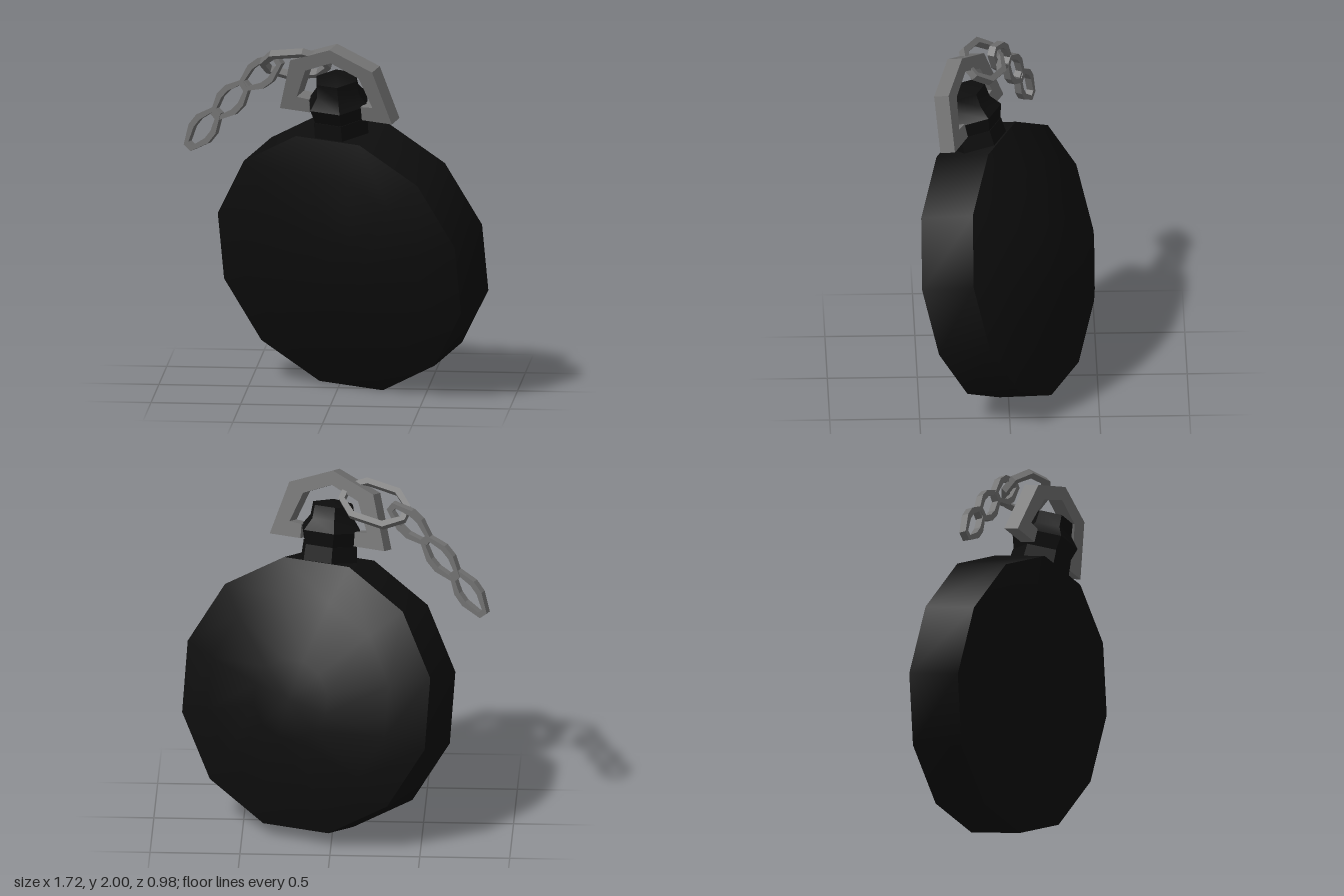
import * as THREE from 'three';
import { toCreasedNormals } from 'three/addons/utils/BufferGeometryUtils.js';

const V2 = (x, y) => new THREE.Vector2(x, y);
const V3 = (x, y, z) => new THREE.Vector3(x, y, z);

// Turned part: profile of [radius, height] pairs from bottom to top
function turned(profile, sides, crease, start = 0) {
  const g = new THREE.LatheGeometry(profile.map(([r, h]) => V2(r, h)), sides, start);
  return toCreasedNormals(g, crease);
}

// Flat plate cut from an outline, centred on its own thickness
function plate(outline, hole, depth) {
  const shape = new THREE.Shape(outline);
  if (hole) shape.holes.push(new THREE.Path(hole));
  const g = new THREE.ExtrudeGeometry(shape, { depth, bevelEnabled: false });
  return g.translate(0, 0, -depth / 2);
}

// Elongated eight-cornered loop: half length, half width, shoulder position
function loop(l, w, k) {
  const quarter = [[l, w * 0.35], [l * k, w]];
  const half = [...quarter, ...quarter.map(([x, y]) => [-x, y]).reverse()];
  return [...half, ...half.map(([x, y]) => [-x, -y])].map(([x, y]) => V2(x, y));
}

export function createModel() {
  const black = new THREE.MeshStandardMaterial({ color: 0x0d0d0d });
  black.name = 'black enamel';
  const steel = new THREE.MeshStandardMaterial({ color: 0x727272 });
  steel.name = 'steel';

  const model = new THREE.Group();
  model.name = 'pocketWatch';
  const add = (parent, name, geometry, material) => {
    const mesh = new THREE.Mesh(geometry, material);
    mesh.name = name;
    parent.add(mesh);
    return mesh;
  };
  // Place an object with its local z along normal and local x along the long axis
  const orient = (object, centre, along, normal) => {
    const x = along.clone().normalize();
    const z = normal.clone().addScaledVector(x, -normal.dot(x)).normalize();
    const y = z.clone().cross(x);
    object.quaternion.setFromRotationMatrix(new THREE.Matrix4().makeBasis(x, y, z));
    object.position.copy(centre);
  };

  // Watch leans forward and turns to one side
  const watch = new THREE.Group();
  watch.name = 'watch';
  orient(watch, V3(0.083, 0.78, 0), V3(0.916, -0.033, 0.404), V3(-0.399, -0.239, 0.885));
  model.add(watch);

  // Twelve-sided case, domed on both faces
  const caseGeometry = turned([
    [0, -0.38], [0.23, -0.36], [0.57, -0.265], [0.778, -0.16],
    [0.778, 0.16], [0.57, 0.24], [0.23, 0.305], [0, 0.32],
  ], 12, 0.7, Math.PI / 12);
  caseGeometry.rotateX(Math.PI / 2);
  add(watch, 'case', caseGeometry, black);

  // Neck and winding crown
  add(watch, 'neck', turned([[0.18, 0.66], [0.165, 0.84], [0, 0.85]], 6, 0.5, Math.PI / 6), black);
  add(watch, 'crown', turned([
    [0, 0.8], [0.155, 0.82], [0.185, 0.92], [0.135, 0.985], [0.125, 1.06], [0, 1.09],
  ], 6, 0.5, Math.PI / 6), black);

  // Bow: an angular arch with feet turned in toward the crown
  const right = [[0.26, 1.155], [0.355, 0.85], [0.165, 0.85], [0.165, 0.93], [0.24, 0.935], [0.17, 1.105]];
  const bow = [[0, 1.255], ...right, [0, 1.175], ...right.map(([x, y]) => [-x, y]).reverse()];
  add(watch, 'bow', plate(bow.map(([x, y]) => V2(x, y)), null, 0.09), steel);

  // Chain
  const chain = new THREE.Group();
  chain.name = 'chain';
  model.add(chain);
  const link = (name, centre, along, normal, l, w, k, t) => {
    const g = plate(loop(l, w, k), loop(l - t, w - t, k), 0.04);
    orient(add(chain, name, g, steel), centre, along, normal);
  };

  // Large ring hooked through the bow
  link('bowRing', V3(-0.225, 1.865, 0.13), V3(-0.36, -0.06, -0.15), V3(0, 0.7, -0.7), 0.205, 0.125, 0.5, 0.033);

  // Three small links hanging down
  [
    [V3(-0.425, 1.79, 0.03), V3(-0.185, -0.15, -0.08)],
    [V3(-0.6, 1.62, -0.05), V3(-0.17, -0.19, -0.075)],
    [V3(-0.76, 1.44, -0.115), V3(-0.15, -0.2, -0.065)],
  ].forEach(([centre, along], i) => {
    link('chainLink' + (i + 1), centre, along, V3(-0.4, 0, 0.9), 0.15, 0.078, 0.25, 0.033);
  });

  return model;
}
